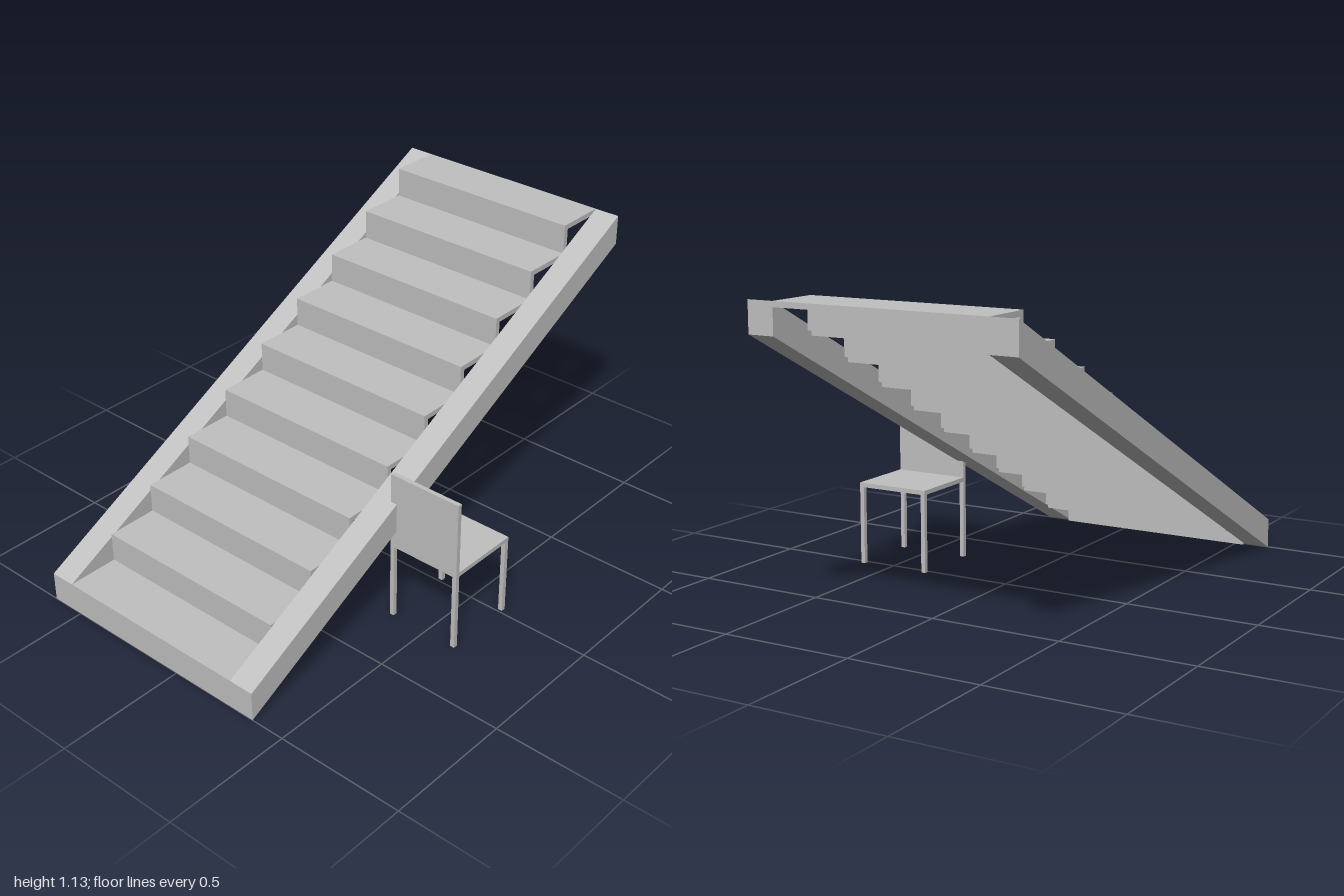
import * as THREE from 'three';

const grey = new THREE.MeshStandardMaterial({ color: 0xc0c0c0 });
grey.name = 'plain grey';

// Box given by its minimum and maximum corners
function box(name, x0, x1, y0, y1, z0, z1) {
  const mesh = new THREE.Mesh(new THREE.BoxGeometry(x1 - x0, y1 - y0, z1 - z0), grey);
  mesh.position.set((x0 + x1) / 2, (y0 + y1) / 2, (z0 + z1) / 2);
  mesh.name = name;
  return mesh;
}

function createStaircase() {
  const stairs = new THREE.Group();
  stairs.name = 'staircase';
  const count = 10, run = 0.2, rise = 0.1135, board = 0.02;
  const top = count * rise, zBack = -0.534, zFront = 0.266, beam = 0.1;

  // Sloping side beams with vertical ends
  const profile = new THREE.Shape([
    new THREE.Vector2(-1, 0),
    new THREE.Vector2(1, top - rise),
    new THREE.Vector2(1, top),
    new THREE.Vector2(-1, rise),
  ]);
  const beamGeometry = new THREE.ExtrudeGeometry(profile, { depth: beam, bevelEnabled: false });
  for (const [name, z] of [['frontStringer', zFront], ['backStringer', zBack - beam]]) {
    const stringer = new THREE.Mesh(beamGeometry, grey);
    stringer.name = name;
    stringer.position.z = z;
    stairs.add(stringer);
  }

  // Each step is a riser standing on the tread level below, with a tread on top
  for (let i = 0; i < count; i++) {
    const x = -1 + i * run, y = i * rise;
    const step = new THREE.Group();
    step.name = `step${i + 1}`;
    step.add(
      box('riser', x, x + board, y, y + rise - board, zBack, zFront),
      box('tread', x, x + run, y + rise - board, y + rise, zBack, zFront),
    );
    stairs.add(step);
  }
  return stairs;
}

function createChair() {
  const chair = new THREE.Group();
  chair.name = 'chair';
  const x0 = -0.267, x1 = 0.027, z0 = 0.339, z1 = 0.634;
  const t = 0.017, seatBottom = 0.302, seatTop = 0.319;

  chair.add(
    box('seat', x0, x1, seatBottom, seatTop, z0, z1),
    box('backrest', x0, x0 + t, seatTop, 0.602, z0, z1),
  );
  // Four square legs at the seat corners
  for (const x of [x0, x1 - t]) {
    for (const z of [z0, z1 - t]) chair.add(box('leg', x, x + t, 0, seatBottom, z, z + t));
  }
  return chair;
}

export function createModel() {
  const model = new THREE.Group();
  model.name = 'staircaseWithChair';
  model.add(createStaircase(), createChair());
  return model;
}
